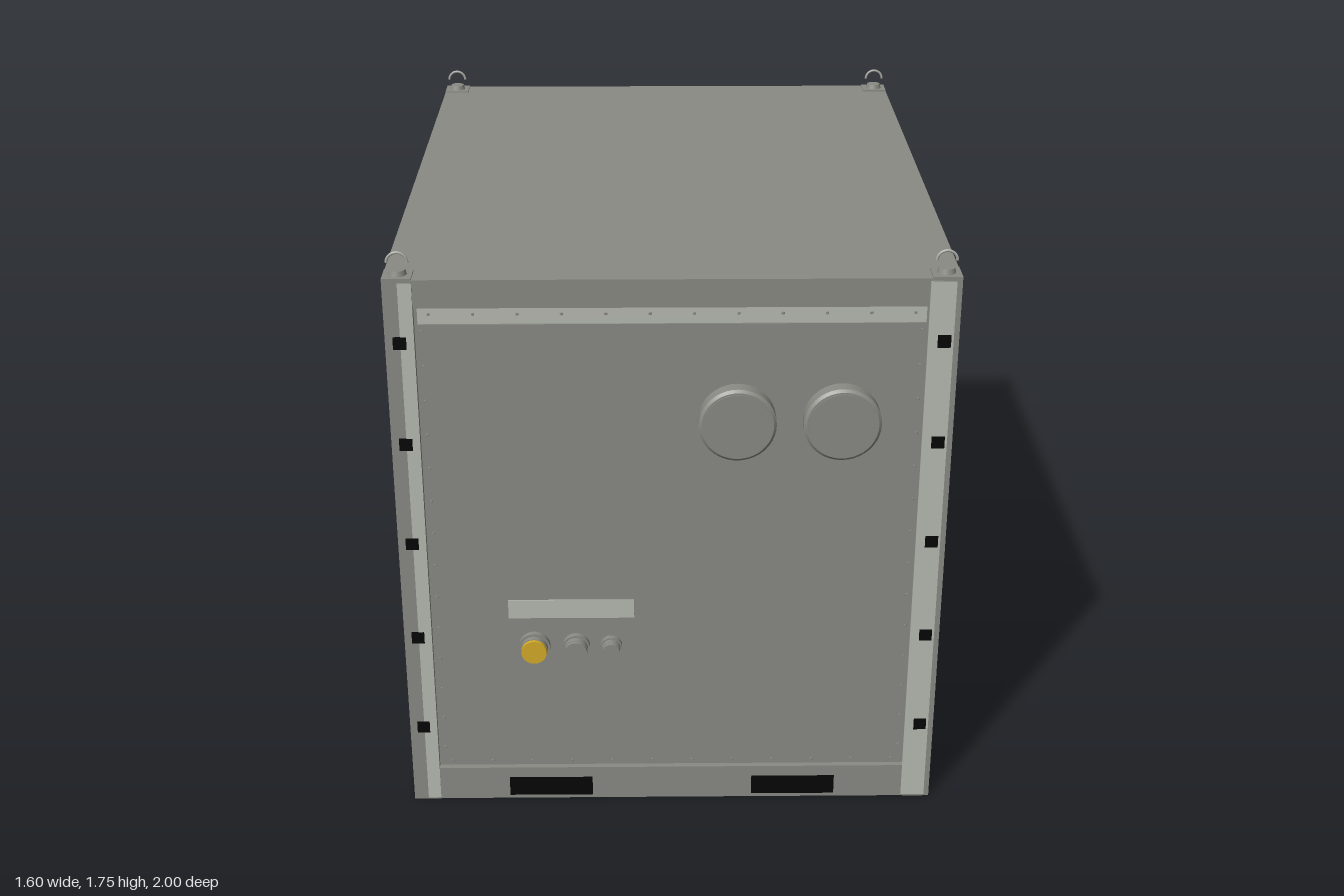
import * as THREE from 'three';

const paint = (name, color) => {
  const m = new THREE.MeshStandardMaterial({ color });
  m.name = name;
  return m;
};

export function createModel() {
  const body = paint('body grey', 0x8a8b84);
  const pale = paint('pale grey', 0xb8bab2);
  const black = paint('black', 0x050505);
  const yellow = paint('yellow', 0xd4ab28);
  const metal = paint('handle metal', 0xa9aba5);
  const under = paint('underside grey', 0xb2b4b2);
  const root = new THREE.Group();
  root.name = 'equipmentContainer';

  const add = (name, geo, mat, x = 0, y = 0, z = 0, parent = root) => {
    const m = new THREE.Mesh(geo, mat);
    m.name = name;
    m.position.set(x, y, z);
    parent.add(m);
    return m;
  };
  // box given by its limits on each axis
  const box = (name, mat, x0, x1, y0, y1, z0, z1, parent = root) =>
    add(name, new THREE.BoxGeometry(x1 - x0, y1 - y0, z1 - z0), mat,
      (x0 + x1) / 2, (y0 + y1) / 2, (z0 + z1) / 2, parent);
  // disc with its axis along z, from z0 to z1
  const disc = (name, mat, x, y, r0, r1, z0, z1, parent = root, sides = 40) =>
    add(name, new THREE.CylinderGeometry(r1, r0, z1 - z0, sides).rotateX(Math.PI / 2), mat,
      x, y, (z0 + z1) / 2, parent);
  // rivets spaced around a rectangle on a wall facing +z
  const rivets = (x, y0, y1, nx, ny, z, parent) => {
    const dot = (px, py) => disc('rivet', body, px, py, 0.005, 0.004, z, z + 0.003, parent, 6);
    for (let i = 0; i < nx; i++) {
      const px = -x + 0.02 + (2 * x - 0.04) * i / (nx - 1);
      dot(px, y0);
      dot(px, y1);
    }
    for (let i = 0; i < ny; i++) {
      const py = y0 + 0.05 + (y1 - y0 - 0.1) * i / (ny - 1);
      dot(-x, py);
      dot(x, py);
    }
  };

  // inner shell, raised floor and roof
  box('shell', body, -0.765, 0.765, 0.095, 1.676, -0.942, 0.942);
  box('floor', under, -0.73, 0.73, 0.085, 0.095, -0.91, 0.91);
  box('roof', body, -0.78, 0.78, 1.676, 1.683, -0.961, 0.961);

  // corner posts with lifting eyes and black clips
  const clipY = [1.5, 1.195, 0.88, 0.57, 0.26];
  for (const sx of [-1, 1]) for (const sz of [-1, 1]) {
    const x = sx * 0.74, z = sz * 0.923;
    add('cornerPost', new THREE.BoxGeometry(0.08, 1.676, 0.077), body, x, 0.838, z);
    add('cornerPad', new THREE.BoxGeometry(0.08, 0.004, 0.076), body, x, 1.685, z);
    add('liftingEyeBase', new THREE.CylinderGeometry(0.022, 0.026, 0.014, 20), body, x, 1.694, z);
    add('liftingEye', new THREE.TorusGeometry(0.028, 0.004, 8, 24, Math.PI), metal, x, 1.72, z);
    for (const y of clipY) {
      add('clip', new THREE.BoxGeometry(0.037, 0.037, 0.008), black, x, y, sz * 0.9595);
      add('clip', new THREE.BoxGeometry(0.008, 0.037, 0.037), black, sx * 0.777, y, sz * 0.926);
    }
  }

  // end rails, with fork pockets passing right through
  for (const s of [-1, 1]) {
    const end = new THREE.Group();
    end.name = s > 0 ? 'frontFrame' : 'backFrame';
    end.rotation.y = s > 0 ? 0 : Math.PI;
    root.add(end);
    box('bottomRail', body, -0.7, 0.7, 0, 0.11, 0.9, 0.96, end);
    box('topRail', body, -0.7, 0.7, 1.6, 1.676, 0.9, 0.957, end);
    for (const x of [-0.365, 0.365])
      box('forkPocket', black, x - 0.125, x + 0.125, 0.012, 0.075, 0.898, 0.962, end);
    rivets(0.68, 0.13, 1.58, 12, 14, 0.95, end);
  }

  // long sides: each is built facing +z and turned into place
  for (const s of [-1, 1]) {
    const side = new THREE.Group();
    side.name = s > 0 ? 'leftSide' : 'rightSide';
    side.rotation.y = s * Math.PI / 2;
    root.add(side);
    box('bottomRail', body, -0.885, 0.885, 0, 0.1, 0.72, 0.778, side);
    box('topRail', body, -0.885, 0.885, 1.58, 1.676, 0.72, 0.778, side);
    box('sidePanel', body, -0.87, 0.87, 0.11, 1.57, 0.75, 0.772, side);
    add('lowerRod', new THREE.CylinderGeometry(0.007, 0.007, 1.7, 12).rotateZ(Math.PI / 2),
      body, 0, 0.105, 0.783, side);
    for (const x of [-0.432, 0, 0.432])
      box('panelSeam', body, x - 0.013, x + 0.013, 0.14, 1.535, 0.765, 0.779, side);
    for (const x of [-0.655, 0.655])
      box('ventHood', body, x - 0.053, x + 0.053, 1.445, 1.493, 0.765, 0.798, side);
    for (const x of [-0.437, 0.437])
      box('forkPocket', black, x - 0.125, x + 0.125, 0.015, 0.075, 0.718, 0.78, side);
    rivets(0.855, 0.125, 1.555, 12, 14, 0.772, side);
  }

  // front wall
  const front = new THREE.Group();
  front.name = 'frontWall';
  root.add(front);
  box('frontPanel', body, -0.69, 0.69, 0.115, 1.55, 0.93, 0.95, front);
  box('upperTrim', pale, -0.69, 0.69, 1.552, 1.598, 0.93, 0.95, front);
  box('postTrim', pale, -0.738, -0.7, 0.005, 1.674, 0.958, 0.9625, front);
  box('postTrim', pale, 0.695, 0.765, 0.005, 1.674, 0.958, 0.9625, front);
  box('namePlate', pale, -0.475, -0.11, 0.628, 0.688, 0.948, 0.953, front);
  for (const x of [0.18, 0.47]) {
    disc('ductFlange', body, x, 1.263, 0.108, 0.108, 0.945, 0.99, front);
    disc('ductRim', body, x, 1.263, 0.108, 0.1, 0.99, 0.997, front);
    disc('ductCover', body, x, 1.263, 0.095, 0.095, 0.997, 1.0, front);
  }
  for (const [x, r, mat] of [[-0.402, 0.046, yellow], [-0.28, 0.04, body], [-0.178, 0.032, body]]) {
    disc('socketFlange', body, x, 0.535, r, r, 0.945, 0.967, front);
    disc('socketCollar', body, x, 0.535, r * 0.86, r * 0.86, 0.967, 0.984, front);
    disc('socketCap', mat, x, 0.535, r * 0.82, r * 0.8, 0.984, 0.993, front);
  }

  // back wall, built facing +z and turned round (its x runs opposite to the model's)
  const back = new THREE.Group();
  back.name = 'backWall';
  back.rotation.y = Math.PI;
  root.add(back);
  box('backPanel', body, -0.69, 0.69, 0.115, 1.595, 0.93, 0.95, back);
  box('doorFrameSide', body, -0.435, -0.405, 0.11, 1.545, 0.945, 0.975, back);
  box('doorFrameSide', body, 0.24, 0.27, 0.11, 1.545, 0.945, 0.975, back);
  box('doorFrameTop', body, -0.405, 0.24, 1.52, 1.545, 0.945, 0.975, back);
  box('door', body, -0.398, 0.233, 0.13, 1.513, 0.945, 0.971, back);
  box('doorThreshold', body, -0.435, 0.27, 0.11, 0.13, 0.945, 0.982, back);
  box('doorSill', body, -0.46, 0.27, 0.015, 0.1, 0.95, 0.973, back);
  for (const y of [1.37, 0.845, 0.32])
    box('hinge', pale, 0.23, 0.243, y - 0.033, y + 0.033, 0.96, 0.98, back);
  box('handlePlate', pale, -0.35, -0.31, 0.81, 0.95, 0.965, 0.976, back);
  disc('handleStem', metal, -0.33, 0.9, 0.011, 0.011, 0.97, 0.995, back, 16);
  box('handleLever', metal, -0.34, -0.235, 0.891, 0.909, 0.986, 1.0, back);
  disc('lockCylinder', metal, -0.33, 0.84, 0.012, 0.012, 0.97, 0.982, back, 16);

  // service hatch, warning plate and small label
  box('hatch', body, 0.335, 0.57, 0.32, 1.47, 0.945, 0.955, back);
  box('hatchHandle', metal, 0.35, 0.374, 1.17, 1.28, 0.953, 0.965, back);
  for (const y of [1.3, 0.5])
    box('hatchHinge', body, 0.562, 0.578, y - 0.03, y + 0.03, 0.948, 0.96, back);
  box('warningPlate', yellow, 0.58, 0.725, 1.365, 1.468, 0.948, 0.956, back);
  box('warningPlate', yellow, 0.7, 0.725, 1.365, 1.468, 0.96, 0.9625, back);
  box('lowerLabel', pale, -0.61, -0.45, 0.118, 0.16, 0.948, 0.953, back);

  return root;
}
